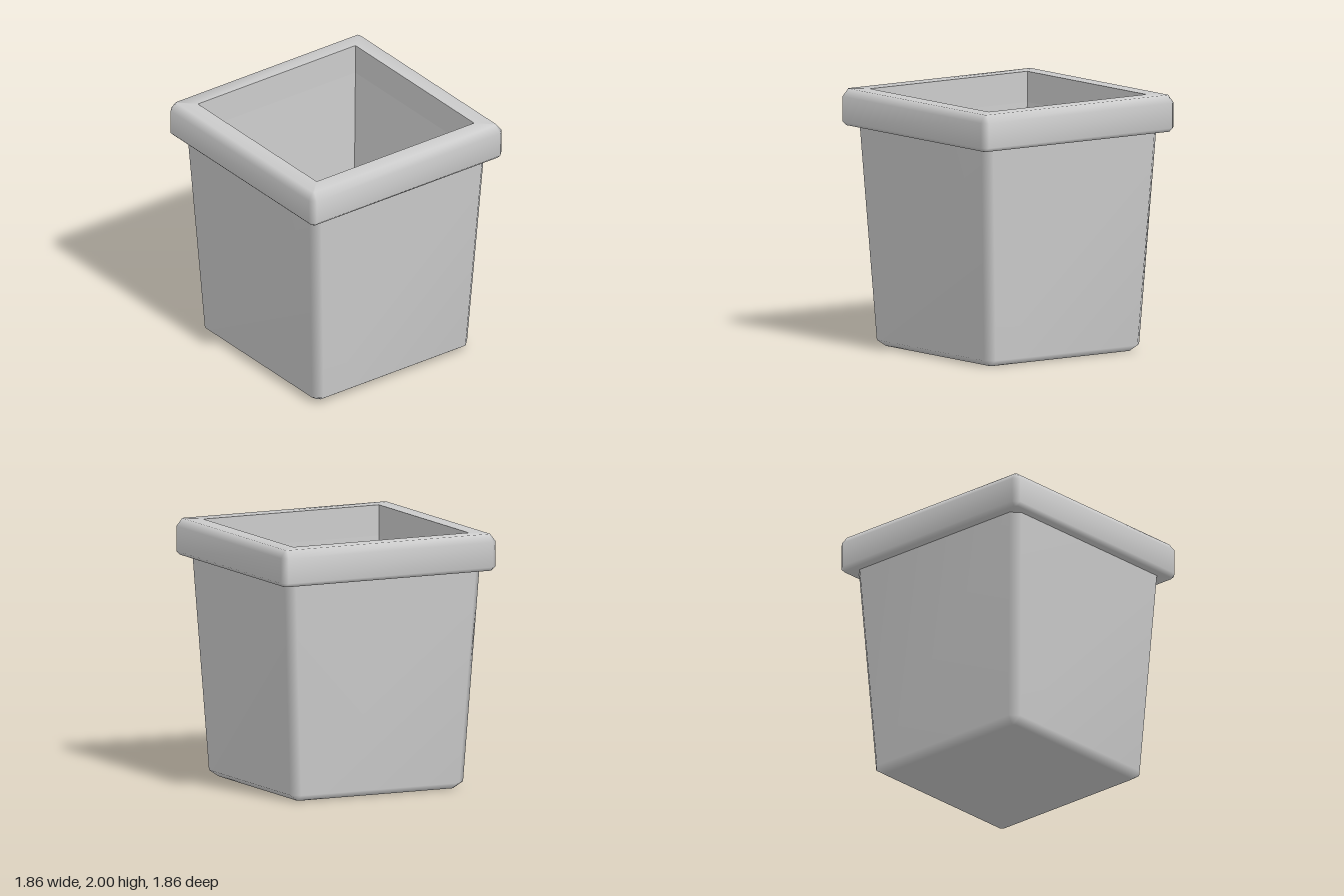
import * as THREE from 'three';

const grey = new THREE.MeshStandardMaterial({ color: 0xcccccc });

// Square outline of half-width h at height y, corners cut by c (no cut: four points)
function outline([h, y, c], bevelled) {
  const points = [];
  for (let i = 0; i < 4; i++) {
    const turn = (i * Math.PI) / 2;
    const corner = bevelled ? [[h - c, h], [h, h - c]] : [[h, h]];
    for (const [x, z] of corner) {
      points.push(
        x * Math.cos(turn) + z * Math.sin(turn), y,
        z * Math.cos(turn) - x * Math.sin(turn));
    }
  }
  return points;
}

// Skin a list of [halfWidth, y, cornerCut] rings
function loft(name, rings, smooth) {
  const n = smooth ? 8 : 4;
  const index = [];
  for (let j = 0; j < rings.length - 1; j++) {
    for (let i = 0; i < n; i++) {
      const k = (i + 1) % n;
      const a = j * n + i, b = j * n + k;
      index.push(a, b, b + n, a, b + n, a + n);
    }
  }
  let geometry = new THREE.BufferGeometry();
  const positions = rings.flatMap((r) => outline(r, smooth));
  geometry.setAttribute('position', new THREE.Float32BufferAttribute(positions, 3));
  geometry.setIndex(index);
  if (!smooth) geometry = geometry.toNonIndexed();
  geometry.computeVertexNormals();
  const mesh = new THREE.Mesh(geometry, grey);
  mesh.name = name;
  return mesh;
}

export function createModel() {
  const planter = new THREE.Group();
  planter.name = 'planter';

  // Tapered outer walls with a softened base and corners
  planter.add(loft('body', [
    [0, 0, 0], [0.68, 0, 0.02], [0.75, 0.05, 0.065], [0.845, 1.74, 0.065],
  ], true));

  // Thick bevelled collar, from its underside to the top inner edge
  planter.add(loft('rim', [
    [0.8, 1.715, 0], [0.9, 1.715, 0.02], [0.93, 1.745, 0.045],
    [0.93, 1.94, 0.045], [0.885, 2, 0.01], [0.76, 2, 0],
  ], true));

  // Straight collar opening, tapered inner walls and the floor
  planter.add(loft('inside', [
    [0.76, 2, 0], [0.76, 1.76, 0], [0.69, 0.06, 0], [0, 0.06, 0],
  ], false));

  return planter;
}
